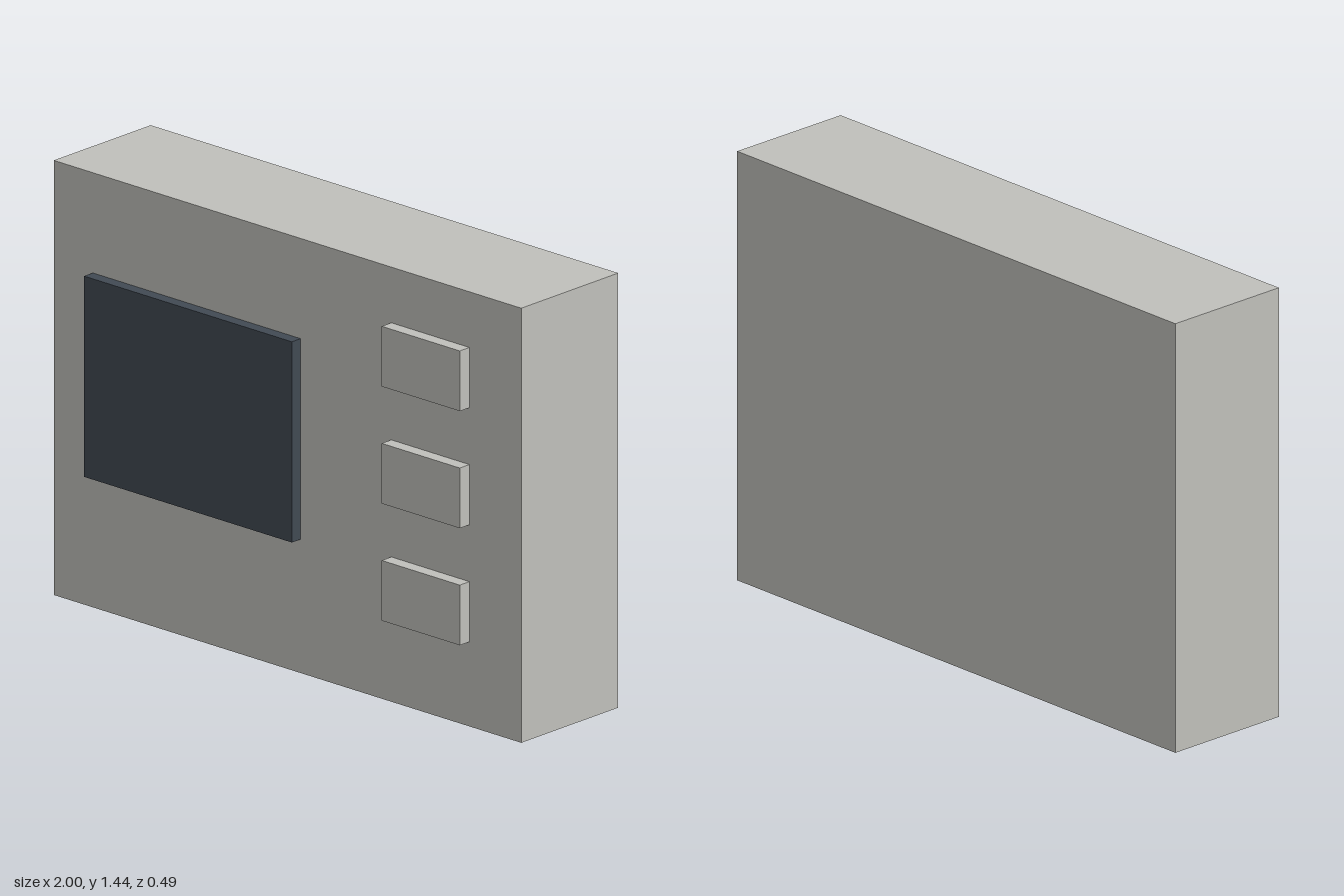
import * as THREE from 'three';

export function createModel() {
  const group = new THREE.Group();
  const casing = new THREE.MeshStandardMaterial({ color: 0xc0c0bb });
  casing.name = 'light grey casing';
  const glass = new THREE.MeshStandardMaterial({ color: 0x414a53 });
  glass.name = 'dark slate screen';

  // Box given by its extents on each axis
  function addBox(name, material, [x0, x1], [y0, y1], [z0, z1]) {
    const mesh = new THREE.Mesh(new THREE.BoxGeometry(x1 - x0, y1 - y0, z1 - z0), material);
    mesh.position.set((x0 + x1) / 2, (y0 + y1) / 2, (z0 + z1) / 2);
    mesh.name = name;
    group.add(mesh);
  }

  const front = 0.2;

  // Housing and raised screen
  addBox('housing', casing, [-1, 1], [0, 1.444], [-0.244, front]);
  addBox('screen', glass, [-0.833, 0.056], [0.444, 1.111], [front, 0.24]);

  // Column of three raised buttons
  ['lowerButton', 'middleButton', 'upperButton'].forEach((name, i) => {
    const y = 0.381 + i * 0.389;
    addBox(name, casing, [0.444, 0.778], [y - 0.1, y + 0.1], [front, 0.244]);
  });

  return group;
}
